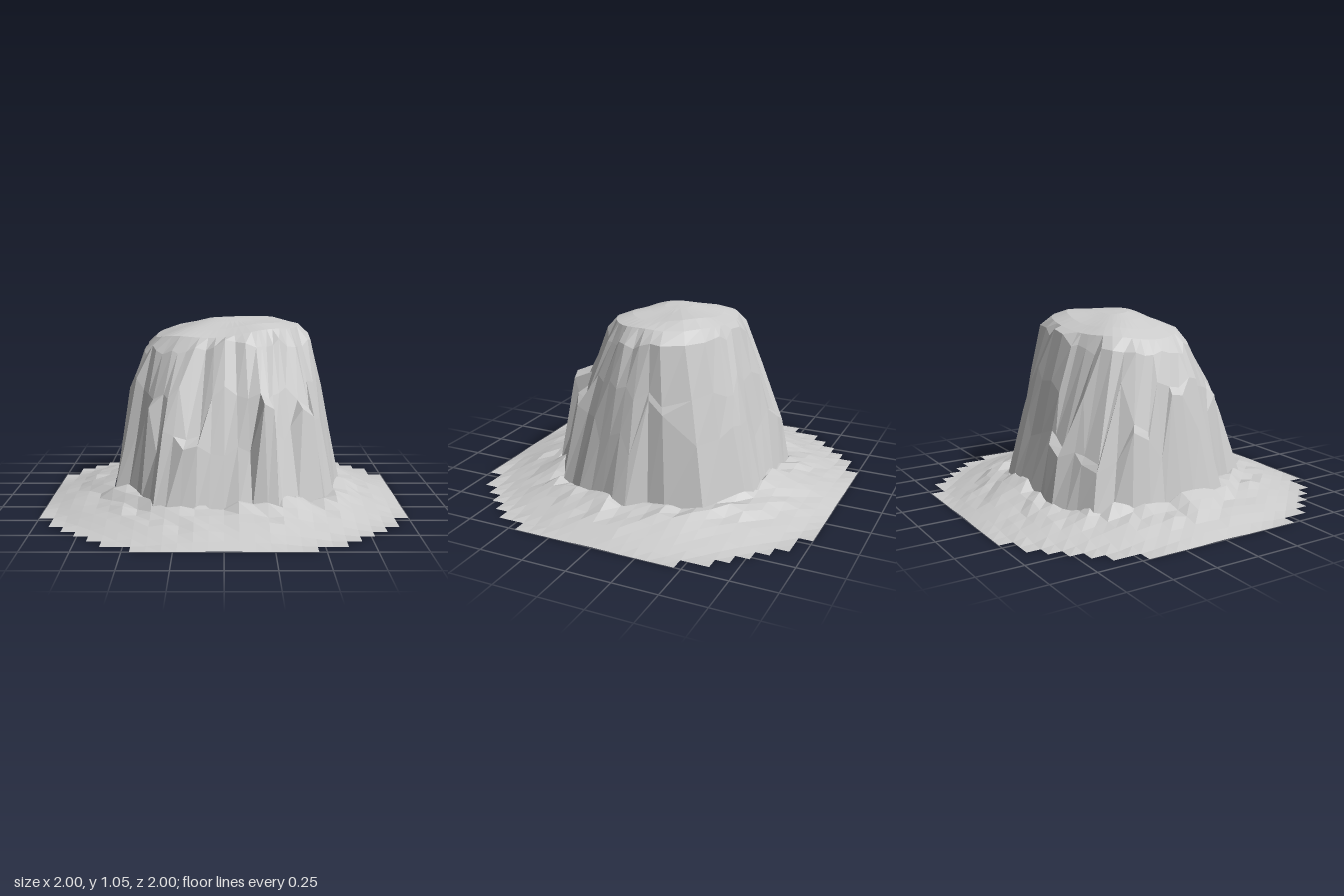
import * as THREE from 'three';

const N = 26, CELL = 2 / N;

// Repeatable noise in -1..1
function noise(a, b) {
  const s = Math.sin(a * 127.1 + b * 311.7) * 43758.5453;
  return (s - Math.floor(s)) * 2 - 1;
}

// Foot of the cliff seen from above: x, z, height of a buttress top (0 = plain wall)
const FOOT = [
  [.68, -.02, 0], [.67, .06, 0], [.64, .14, 0], [.62, .22, 0], [.61, .3, 0], [.56, .38, 0],
  [.54, .44, .55], [.47, .48, .6], [.4, .52, 0], [.35, .54, 0], [.31, .57, 0],
  [.29, .61, .62], [.23, .61, .65], [.15, .61, 0], [.08, .61, 0], [0, .61, 0], [-.08, .61, 0],
  [-.15, .61, .43], [-.23, .61, .41], [-.31, .61, 0], [-.38, .6, 0], [-.4, .53, 0],
  [-.45, .45, .6], [-.48, .38, 0], [-.53, .31, 0], [-.61, .28, 0], [-.62, .2, 0],
  [-.62, .08, .66], [-.62, 0, .67], [-.61, -.1, 0], [-.62, -.2, .45], [-.6, -.3, .5],
  [-.54, -.38, 0], [-.53, -.5, .3], [-.43, -.54, .33], [-.38, -.58, 0], [-.3, -.62, .35],
  [-.2, -.62, .4], [-.15, -.61, 0], [-.03, -.61, 0], [.1, -.61, 0], [.18, -.61, 0],
  [.27, -.61, 0], [.31, -.57, 0], [.39, -.5, 0], [.54, -.42, 0], [.6, -.22, .6], [.6, -.12, .67],
];

function insideFoot(x, z) {
  let inside = false;
  FOOT.forEach(([ax, az], i) => {
    const [bx, bz] = FOOT[(i + 1) % FOOT.length];
    if ((az > z) !== (bz > z) && x < ((bx - ax) * (z - az)) / (bz - az) + ax) inside = !inside;
  });
  return inside;
}

// Sloping, lumpy ground, falling from the cliff foot to the outer edge
function groundHeight(x, z) {
  const fall = THREE.MathUtils.clamp((1.01 - Math.hypot(x, z)) / 0.38, 0, 1);
  const bump = noise(Math.round(x / CELL), Math.round(z / CELL));
  return 0.01 + 0.12 * fall + 0.035 * bump * fall * fall;
}

function flatMesh(name, triangles) {
  const geometry = new THREE.BufferGeometry();
  geometry.setAttribute('position', new THREE.Float32BufferAttribute(triangles.flat(), 3));
  geometry.computeVertexNormals();
  const material = new THREE.MeshStandardMaterial({
    color: 0xcccccc, flatShading: true, side: THREE.DoubleSide,
  });
  const mesh = new THREE.Mesh(geometry, material);
  mesh.name = name;
  return mesh;
}

// Square cells trimmed to a stepped disc, open under the rock
function makeGround() {
  const tris = [];
  for (let j = 0; j < N; j++) {
    for (let i = 0; i < N; i++) {
      const x = -1 + i * CELL, z = -1 + j * CELL;
      if (Math.hypot(x + CELL / 2, z + CELL / 2) > 1.07) continue;
      const corners = [[x, z], [x, z + CELL], [x + CELL, z + CELL], [x + CELL, z]];
      if (corners.every(([cx, cz]) => insideFoot(cx, cz))) continue;
      const [a, b, c, d] = corners.map(([cx, cz]) => [cx, groundHeight(cx, cz), cz]);
      tris.push(a, b, c, a, c, d);
    }
  }
  return flatMesh('ground', tris);
}

// One vertical section of the rock, from foot to the middle of the top
function rockColumn([x, z, ledge], i) {
  const cx = 0.02, cz = -0.04;
  const angle = Math.atan2(z - cz, x - cx);
  const c = Math.cos(angle), s = Math.sin(angle);
  const k = 1 / Math.pow(Math.abs(c) ** 2.5 + Math.abs(s) ** 2.5, 0.4);
  const dx = c * k * 0.47, dz = s * k * 0.345;
  const wobble = 1 + 0.035 * noise(i, 3);
  const rimX = cx + dx * wobble, rimZ = cz + dz * wobble;
  const rimY = 0.945 - 0.04 * Math.abs(c) + 0.03 * noise(i, 5) + 0.06 * dx;
  const wall = (t, y) => [
    THREE.MathUtils.lerp(x, rimX, t), y, THREE.MathUtils.lerp(z, rimZ, t),
  ];
  const top = (f, y) => {
    const px = cx + dx * f, pz = cz + dz * f;
    return [px, y + 0.07 * dx * f + 0.012 * Math.sin(11 * px + 2) * Math.cos(13 * pz), pz];
  };
  const points = [wall(0, groundHeight(x, z) - 0.03)];
  if (ledge) {
    const lean = 0.35 + 0.4 * Math.abs(c);
    points.push(wall(lean * ledge, ledge), wall(ledge * 0.95, ledge + 0.04));
  } else {
    const low = 0.42 + 0.1 * noise(i, 7), high = 0.7 + 0.05 * noise(i, 8);
    points.push(wall(low * 0.85, low), wall(high * 0.94, high));
  }
  points.push(wall(1, rimY), top(0.87, 0.985), top(0.65, 1.02), top(0.4, 1.04));
  points.push(top(0.2, 1.05), top(0, 1.05));
  return points;
}

// Steep rock with buttresses and a gently domed top
function makeRock() {
  const columns = FOOT.map(rockColumn);
  const tris = [];
  columns.forEach((col, i) => {
    const next = columns[(i + 1) % columns.length];
    for (let l = 0; l < col.length - 1; l++) {
      tris.push(col[l], col[l + 1], next[l]);
      if (l < col.length - 2) tris.push(col[l + 1], next[l + 1], next[l]);
    }
  });
  return flatMesh('rock', tris);
}

export function createModel() {
  const group = new THREE.Group();
  group.name = 'rockyMesa';
  group.add(makeGround(), makeRock());
  return group;
}
